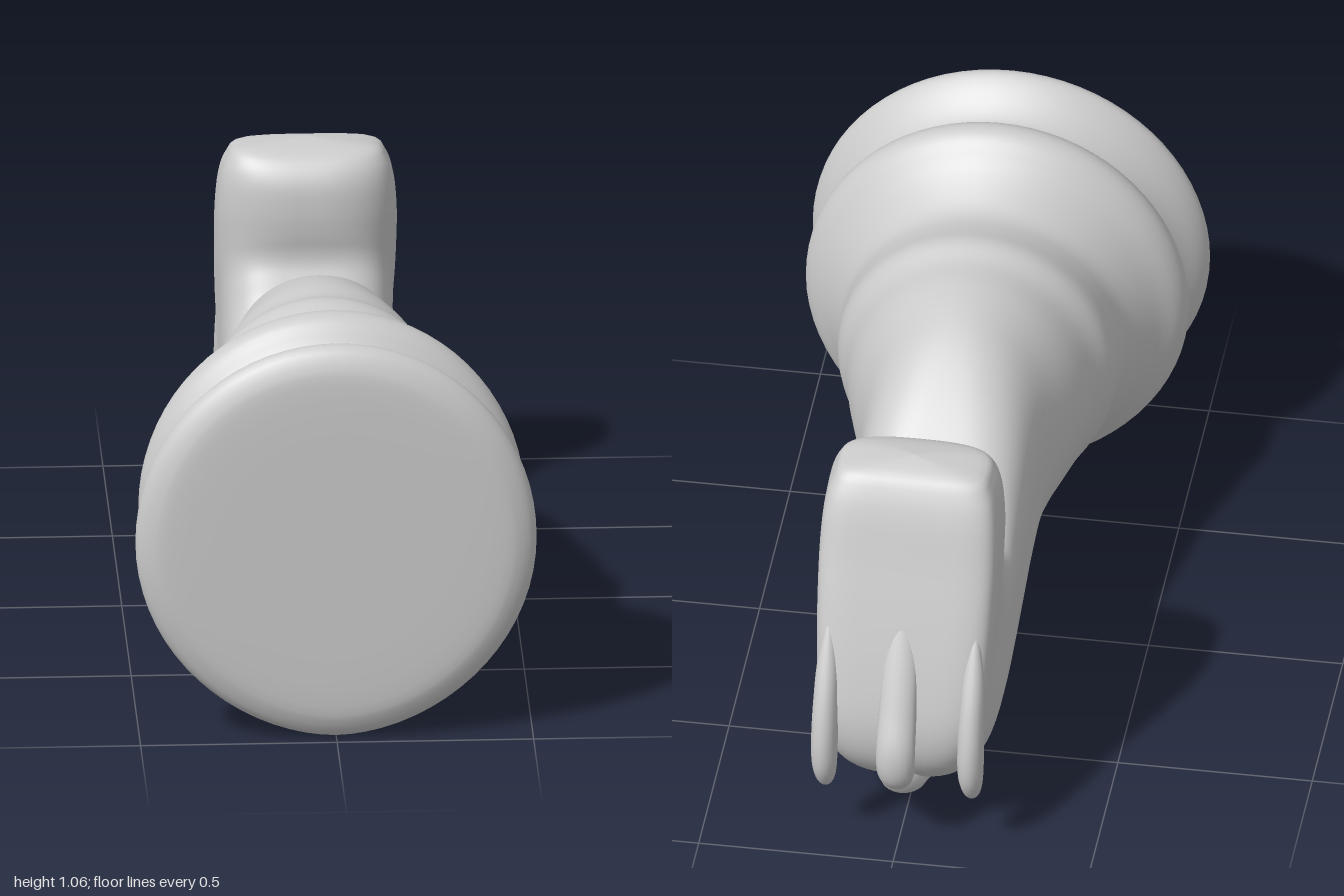
import * as THREE from 'three';

const material = new THREE.MeshStandardMaterial({ color: 0xcccccc, side: THREE.DoubleSide });

// Smooth interpolation of whole station rows
function refine(rows, steps) {
  const out = [];
  const at = i => rows[Math.max(0, Math.min(rows.length - 1, i))];
  for (let i = 0; i < rows.length - 1; i++) {
    for (let s = 0; s < steps; s++) {
      const t = s / steps;
      out.push(rows[i].map((b, k) => {
        const a = at(i - 1)[k], c = at(i + 1)[k], d = at(i + 2)[k];
        return b + 0.5 * t * (c - a + t * (2 * a - 5 * b + 4 * c - d + t * (3 * (b - c) + d - a)));
      }));
    }
  }
  out.push(rows[rows.length - 1]);
  return out;
}

// Loft of superellipse rings. Station: inner z, inner y, outer z, outer y,
// half width, inner exponent, outer exponent (1 = round, below 1 = boxy)
function loft(name, stations, steps, sides, x0 = 0) {
  const rings = refine(stations, steps);
  const pos = [], index = [];
  const pow = (v, p) => Math.sign(v) * Math.pow(Math.abs(v), p);
  rings.forEach(([zi, yi, zo, yo, w, pi, po], i) => {
    for (let j = 0; j < sides; j++) {
      const t = (j / sides) * Math.PI * 2, c = Math.cos(t);
      const p = c >= 0 ? pi : po;
      const v = pow(c, Math.min(1, p));
      pos.push(x0 + Math.max(0, w) * pow(Math.sin(t), p),
        (yi + yo) / 2 + v * (yi - yo) / 2,
        (zi + zo) / 2 + v * (zi - zo) / 2);
      if (i < rings.length - 1) {
        const a = i * sides + j, b = i * sides + (j + 1) % sides;
        index.push(a, b, a + sides, b, b + sides, a + sides);
      }
    }
  });
  const geo = new THREE.BufferGeometry();
  geo.setAttribute('position', new THREE.Float32BufferAttribute(pos, 3));
  geo.setIndex(index);
  geo.computeVertexNormals();
  const mesh = new THREE.Mesh(geo, material);
  mesh.name = name;
  return mesh;
}

// Tapered ridge along a centre line of [z, y, half width, half thickness]
function ridge(name, line, x0 = 0) {
  const stations = line.map(([z, y, w, r], i) => {
    const a = line[Math.max(0, i - 1)], b = line[Math.min(line.length - 1, i + 1)];
    const len = Math.hypot(b[0] - a[0], b[1] - a[1]);
    const nz = (b[1] - a[1]) / len * r, ny = -(b[0] - a[0]) / len * r;
    return [z + nz, y + ny, z - nz, y - ny, w, 1, 1];
  });
  return loft(name, stations, 6, 20, x0);
}

export function createModel() {
  const group = new THREE.Group();
  group.name = 'chessKnight';

  // Turned foot and collars: [z, top y, bottom y, half width]
  const foot = [
    [1, 0.53, 0.53, 0], [1, 0.92, 0.14, 0.38], [0.985, 1.02, 0.04, 0.475], [0.95, 1.06, 0, 0.51],
    [0.91, 1.045, 0.015, 0.495], [0.86, 1.005, 0.065, 0.45], [0.82, 0.985, 0.09, 0.43],
    [0.79, 0.995, 0.08, 0.44], [0.75, 1.045, 0.03, 0.48], [0.71, 1.06, 0.018, 0.492],
    [0.67, 1.045, 0.03, 0.475], [0.62, 0.995, 0.07, 0.43], [0.55, 0.95, 0.12, 0.385],
    [0.5, 0.932, 0.155, 0.365], [0.44, 0.94, 0.175, 0.36], [0.36, 0.96, 0.18, 0.355],
    [0.29, 0.945, 0.18, 0.325], [0.2, 0.943, 0.185, 0.302], [0.1, 0.925, 0.18, 0.27],
  ].map(([z, top, bottom, w]) => [z, top, z, bottom, w, 1, z > 0.6 ? 1.08 : 1]);

  // Neck bending round the throat into the upright muzzle
  const neckAndHead = [
    [0, 0.885, 0, 0.165, 0.242, 0.85, 0.95],
    [-0.12, 0.81, -0.13, 0.125, 0.23, 0.7, 0.9],
    [-0.24, 0.715, -0.28, 0.085, 0.225, 0.6, 0.85],
    [-0.33, 0.635, -0.45, 0.055, 0.222, 0.5, 0.8],
    [-0.378, 0.602, -0.6, 0.05, 0.222, 0.5, 0.8],
    [-0.415, 0.615, -0.73, 0.085, 0.222, 0.5, 0.7],
    [-0.45, 0.655, -0.85, 0.165, 0.22, 0.5, 0.6],
    [-0.475, 0.695, -0.915, 0.25, 0.22, 0.5, 0.5],
    [-0.492, 0.73, -0.93, 0.36, 0.222, 0.55, 0.42],
    [-0.496, 0.765, -0.9, 0.5, 0.227, 0.65, 0.37],
    [-0.49, 0.81, -0.85, 0.66, 0.23, 0.75, 0.33],
    [-0.487, 0.87, -0.805, 0.79, 0.23, 0.8, 0.33],
    [-0.495, 0.94, -0.768, 0.9, 0.222, 0.8, 0.33],
    [-0.525, 0.99, -0.738, 0.965, 0.203, 0.7, 0.35],
    [-0.57, 1.015, -0.705, 1.005, 0.165, 0.6, 0.4],
    [-0.638, 1.027, -0.642, 1.027, 0, 0.6, 0.5],
  ];
  group.add(loft('body', [...foot, ...neckAndHead], 4, 72));

  // Mane along the back of the neck
  group.add(ridge('mane', [
    [0.525, 0.142, 0, 0], [0.51, 0.142, 0.04, 0.025], [0.47, 0.145, 0.052, 0.036],
    [0.35, 0.16, 0.055, 0.038], [0.2, 0.178, 0.055, 0.038], [0, 0.165, 0.055, 0.038],
    [-0.2, 0.11, 0.055, 0.038], [-0.4, 0.066, 0.055, 0.036], [-0.55, 0.048, 0.055, 0.034],
    [-0.65, 0.05, 0.055, 0.034], [-0.76, 0.1, 0.055, 0.034], [-0.87, 0.165, 0.05, 0.034],
    [-0.92, 0.23, 0, 0],
  ]));

  // Forelock hanging down the middle of the forehead
  group.add(ridge('forelock', [
    [-0.82, 0.71, 0, 0], [-0.87, 0.56, 0.04, 0.022], [-0.922, 0.42, 0.048, 0.034],
    [-0.96, 0.32, 0.05, 0.038], [-0.955, 0.25, 0.047, 0.037], [-0.92, 0.2, 0.03, 0.025],
    [-0.9, 0.185, 0, 0],
  ]));

  // Ears with hooked tips
  for (const side of [1, -1]) {
    group.add(ridge(side > 0 ? 'leftEar' : 'rightEar', [
      [-0.83, 0.66, 0, 0], [-0.872, 0.53, 0.025, 0.025], [-0.905, 0.42, 0.032, 0.04],
      [-0.925, 0.32, 0.034, 0.044], [-0.925, 0.24, 0.032, 0.04],
      [-0.905, 0.18, 0.022, 0.026], [-0.885, 0.145, 0, 0],
    ], side * 0.188));
  }
  return group;
}
